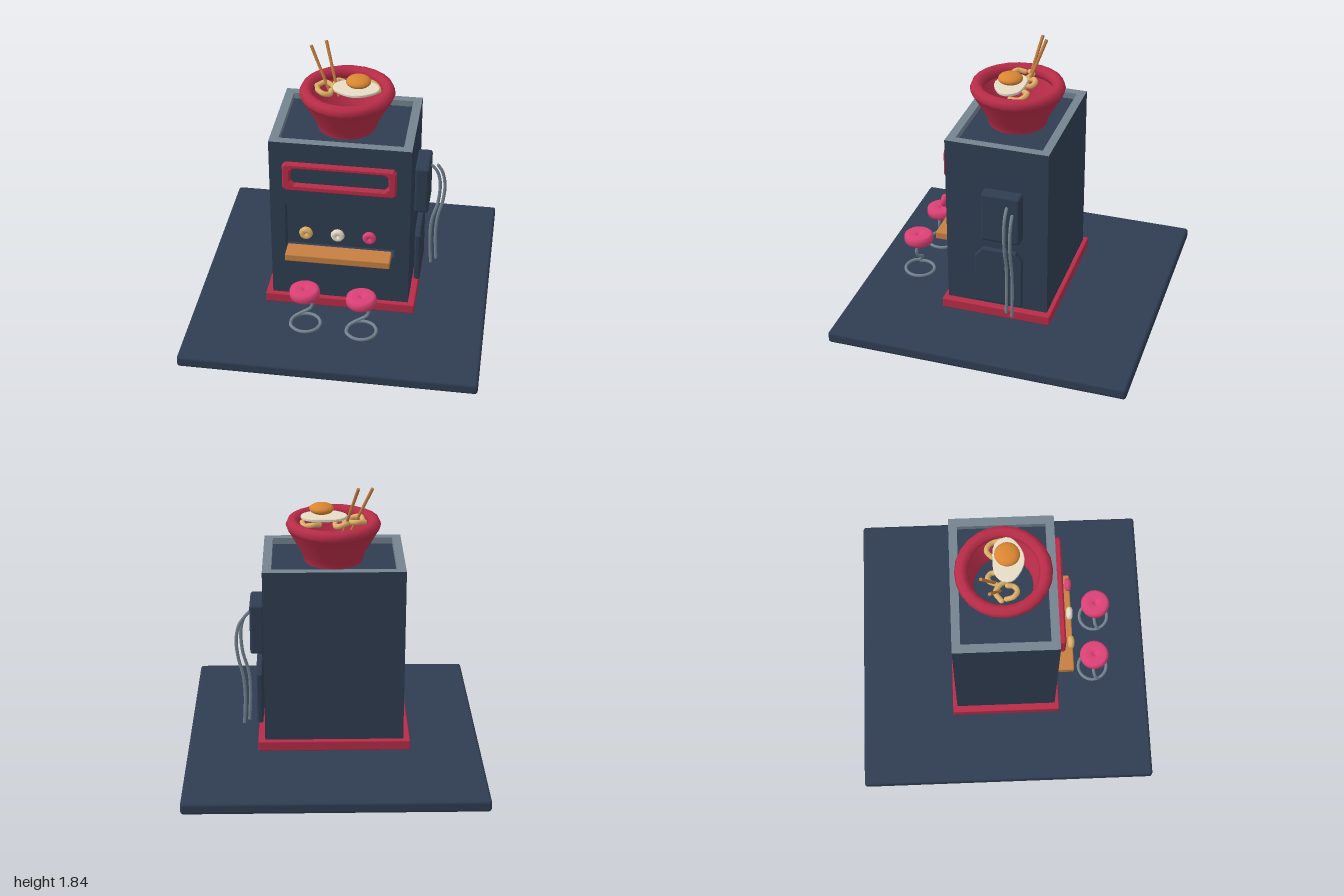
import * as THREE from 'three';
import { RoundedBoxGeometry } from 'three/addons/geometries/RoundedBoxGeometry.js';

const mat = (name, color, side = THREE.FrontSide) => {
  const m = new THREE.MeshStandardMaterial({ color, side });
  m.name = name;
  return m;
};

export function createModel() {
  const navy = mat('navy', 0x2f3d52);
  const red = mat('red', 0xb82c48, THREE.DoubleSide);
  const pink = mat('pink', 0xdc4176);
  const wood = mat('wood', 0xc67f42);
  const yolkOrange = mat('yolkOrange', 0xd98632);
  const steel = mat('steel', 0x74838f);
  const cream = mat('cream', 0xe6dcc6);
  const gold = mat('gold', 0xdfb166);

  const root = new THREE.Group();
  root.name = 'noodleKiosk';
  const add = (name, geo, material, x = 0, y = 0, z = 0) => {
    const m = new THREE.Mesh(geo, material);
    m.name = name;
    m.position.set(x, y, z);
    root.add(m);
    return m;
  };
  // Boxes given by their extents
  const block = (name, material, [x0, x1], [y0, y1], [z0, z1], r = 0) => {
    const s = [x1 - x0, y1 - y0, z1 - z0];
    const g = r ? new RoundedBoxGeometry(...s, 2, r) : new THREE.BoxGeometry(...s);
    return add(name, g, material, (x0 + x1) / 2, (y0 + y1) / 2, (z0 + z1) / 2);
  };
  const rectPoints = (x0, x1, y0, y1, c = 0) => (c
    ? [[x0 + c, y0], [x1 - c, y0], [x1, y0 + c], [x1, y1 - c], [x1 - c, y1], [x0 + c, y1], [x0, y1 - c], [x0, y0 + c]]
    : [[x0, y0], [x1, y0], [x1, y1], [x0, y1]]).map(p => new THREE.Vector2(...p));
  const frame = (outer, hole, depth, bevel = 0) => {
    const s = new THREE.Shape(outer);
    s.holes.push(new THREE.Path(hole));
    return new THREE.ExtrudeGeometry(s, {
      depth, bevelEnabled: bevel > 0, bevelSize: bevel, bevelThickness: bevel, bevelOffset: -bevel, bevelSegments: 1,
    });
  };
  const tube = (name, points, r, material, segments = 40) => {
    const pts = points.map(p => new THREE.Vector3(...p));
    const g = new THREE.TubeGeometry(new THREE.CatmullRomCurve3(pts), segments, r, 8);
    const m = add(name, g, material);
    // Rounded ends
    [pts[0], pts[pts.length - 1]].forEach(p => add(name + 'End', new THREE.SphereGeometry(r, 8, 6), material, p.x, p.y, p.z));
    return m;
  };

  // Ground plate and plinth
  block('groundPlate', navy, [-0.97, 0.97], [0, 0.08], [-1, 1], 0.02);
  block('plinth', red, [-0.5, 0.5], [0.1, 0.17], [-0.37, 0.37], 0.008);

  // Kiosk body with a recessed serving window at the front
  block('body', navy, [-0.455, 0.455], [0.165, 1.31], [-0.34, 0.26]);
  add('frontWall', frame(rectPoints(-0.455, 0.455, 0.165, 1.31), rectPoints(-0.36, 0.355, 0.53, 0.88), 0.08), navy, 0, 0, 0.26);

  // Roof parapet: navy outside, steel on top and inside
  const parapet = (name, hx, hz, ix, iz, mats) => {
    const m = add(name, frame(rectPoints(-hx, hx, -hz, hz), rectPoints(-ix, ix, -iz, iz), 0.042), mats, 0, 1.31, 0);
    m.rotation.x = -Math.PI / 2;
  };
  parapet('parapetOuter', 0.455, 0.34, 0.44, 0.325, [steel, navy]);
  parapet('parapetInner', 0.44, 0.325, 0.398, 0.285, [steel, steel]);

  // Sign frame, counter and hanging ring ornaments
  add('signFrame', frame(rectPoints(-0.365, 0.365, 1.02, 1.22, 0.02), rectPoints(-0.315, 0.315, 1.065, 1.185, 0.025), 0.025, 0.01), red, 0, 0, 0.35);
  block('counter', wood, [-0.345, 0.34], [0.522, 0.575], [0.335, 0.465], 0.008);
  [[-0.205, gold], [0, cream], [0.205, pink]].forEach(([x, m]) =>
    add('windowRing', new THREE.TorusGeometry(0.024, 0.021, 8, 20), m, x, 0.745, 0.443));

  // Stools: dimpled cushion on a coiled steel stem
  const cushion = [[0, -0.035], [0.08, -0.036], [0.096, -0.024], [0.1, 0], [0.096, 0.024], [0.08, 0.036], [0.03, 0.034], [0.012, 0.024], [0, 0.014]]
    .map(p => new THREE.Vector2(...p));
  [[-0.19, 0.62], [0.183, 0.648]].forEach(([x, z]) => {
    add('stoolSeat', new THREE.LatheGeometry(cushion, 24), pink, x, 0.4, z);
    const path = [];
    for (let i = 0; i <= 14; i++) {
      const a = Math.PI + 0.35 - (i / 14) * Math.PI * 2;
      path.push([x + 0.098 * Math.cos(a), 0.143 + 0.012 * i / 14, z - 0.098 * Math.sin(a)]);
    }
    path.push([x - 0.08, 0.19, z + 0.01], [x - 0.02, 0.235, z], [x + 0.035, 0.275, z], [x + 0.05, 0.315, z], [x + 0.035, 0.37, z]);
    tube('stoolCoil', path, 0.011, steel, 90);
  });

  // Side cabinet, side door and pipes
  block('sideCabinet', navy, [0.452, 0.547], [0.715, 1.06], [-0.18, 0.078], 0.018);
  const door = new THREE.Shape([[-0.135, 0.215], [0.185, 0.215], [0.185, 0.565], [0.14, 0.625], [-0.085, 0.625], [-0.135, 0.565]]
    .map(p => new THREE.Vector2(...p)));
  const doorMesh = add('sideDoor', new THREE.ExtrudeGeometry(door, {
    depth: 0.02, bevelSize: 0.01, bevelThickness: 0.01, bevelOffset: -0.01, bevelSegments: 2,
  }), navy, 0.48, 0, 0);
  doorMesh.rotation.y = Math.PI / 2;
  tube('pipe', [[0.55, 0.985, -0.097], [0.585, 0.945, -0.097], [0.608, 0.86, -0.097], [0.6, 0.7, -0.097], [0.562, 0.55, -0.097], [0.555, 0.4, -0.097], [0.565, 0.2, -0.097]], 0.011, steel);
  tube('pipe', [[0.588, 0.96, -0.145], [0.618, 0.91, -0.145], [0.638, 0.81, -0.145], [0.63, 0.69, -0.145], [0.597, 0.54, -0.145], [0.588, 0.4, -0.145], [0.597, 0.2, -0.145]], 0.011, steel);

  // Bowl: open wall with a thick rounded lip
  const wall = [[0.19, 1.312], [0.2, 1.36], [0.298, 1.535]].map(p => new THREE.Vector2(...p));
  add('bowlWall', new THREE.LatheGeometry(wall, 24), red);
  add('bowlLip', new THREE.TorusGeometry(0.264, 0.043, 8, 24), red, 0, 1.555, 0).rotation.x = Math.PI / 2;

  // Fried egg
  const white = new THREE.Shape();
  white.setFromPoints(Array.from({ length: 24 }, (_, i) => {
    const a = (i / 24) * Math.PI * 2;
    return new THREE.Vector2(0.15 * Math.cos(a), (0.1 + 0.008 * Math.sin(3 * a)) * Math.sin(a));
  }));
  add('eggWhite', new THREE.ExtrudeGeometry(white, {
    depth: 0.012, bevelSize: 0.006, bevelThickness: 0.004, bevelOffset: -0.006, bevelSegments: 2,
  }), cream, 0.06, 1.59, 0.025).rotation.x = -Math.PI / 2;
  add('eggYolk', new THREE.SphereGeometry(0.08, 20, 12), yolkOrange, 0.075, 1.65, 0.025).scale.y = 0.44;

  // Noodles
  [
    [[-0.19, 0.01], [-0.18, 0.055], [-0.14, 0.08], [-0.105, 0.06], [-0.1, 0.02]],
    [[-0.2, -0.02], [-0.15, -0.055], [-0.1, -0.03], [-0.07, 0.01]],
    [[-0.09, -0.05], [-0.075, -0.09], [-0.045, -0.1], [-0.015, -0.08], [-0.01, -0.04]],
    [[0.09, -0.07], [0.125, -0.1], [0.165, -0.09], [0.19, -0.06], [0.2, -0.01]],
  ].forEach(p => tube('noodle', p.map(([x, z], i) => [x, 1.572 + 0.01 * Math.sin(i * 1.5), z]), 0.017, gold, 24));

  // Chopsticks
  [
    [[-0.245, 1.82, -0.093], [-0.107, 1.5, -0.025]],
    [[-0.155, 1.835, -0.143], [-0.06, 1.5, -0.03]],
  ].forEach(([a, b]) => {
    const top = new THREE.Vector3(...a), end = new THREE.Vector3(...b);
    const dir = top.clone().sub(end);
    const m = add('chopstick', new THREE.CylinderGeometry(0.011, 0.009, dir.length(), 8), wood);
    m.position.copy(top).add(end).multiplyScalar(0.5);
    m.quaternion.setFromUnitVectors(new THREE.Vector3(0, 1, 0), dir.normalize());
  });

  return root;
}
